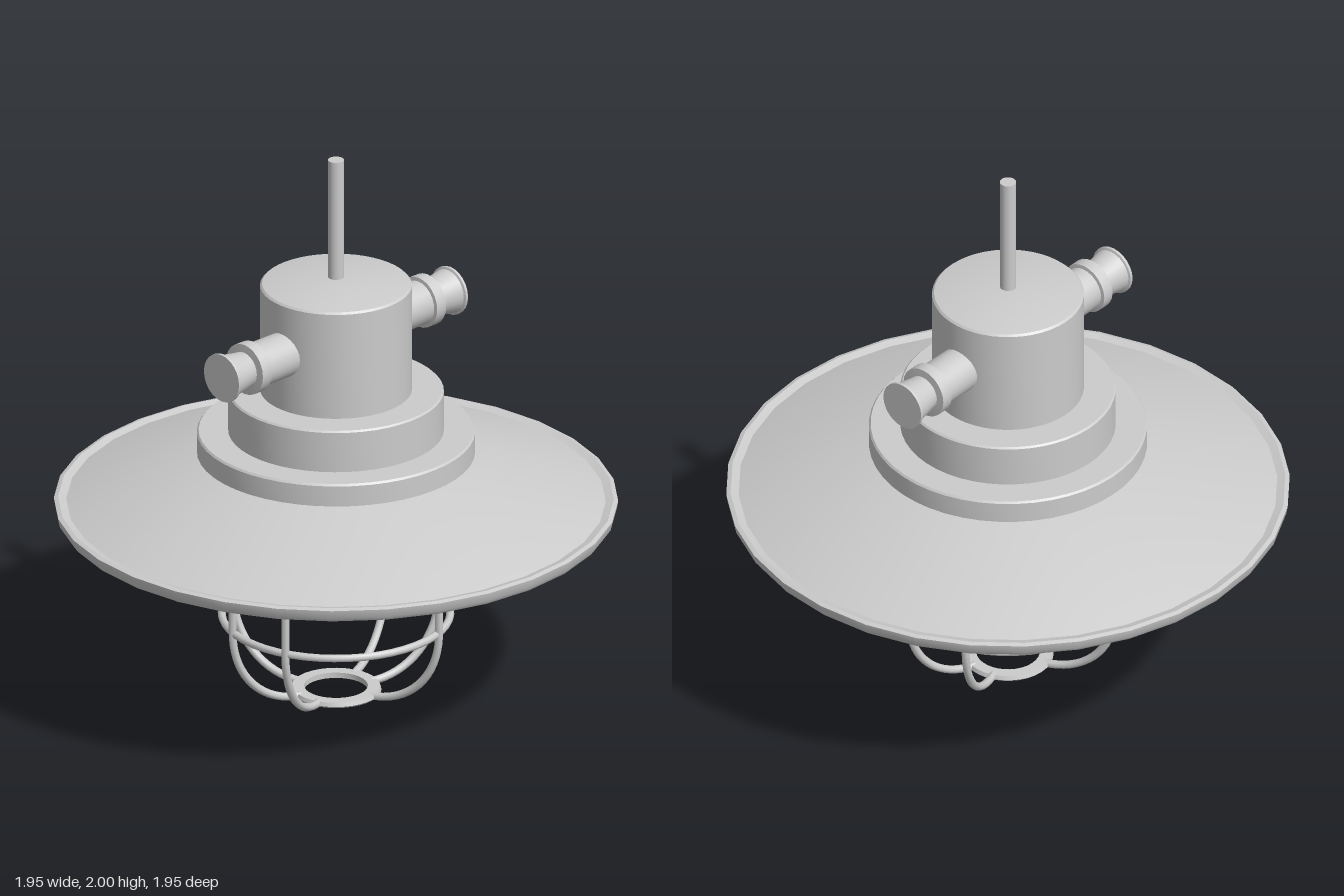
import * as THREE from 'three';
import { toCreasedNormals } from 'three/addons/utils/BufferGeometryUtils.js';

const grey = new THREE.MeshStandardMaterial({ color: 0xcccccc });

function add(parent, name, geometry) {
  const mesh = new THREE.Mesh(geometry, grey);
  mesh.name = name;
  parent.add(mesh);
  return mesh;
}

// Turned part: profile of [radius, height], running from bottom to top on the outside
function turned(profile, segments = 32, crease = 0.5) {
  const points = profile.map(([r, y]) => new THREE.Vector2(r, y));
  return toCreasedNormals(new THREE.LatheGeometry(points, segments), crease);
}

export function createModel() {
  const lamp = new THREE.Group();
  lamp.name = 'cagedPendantLamp';

  // Hanging rod and domed housing
  const rod = add(lamp, 'rod', new THREE.CylinderGeometry(0.028, 0.028, 0.46, 24));
  rod.position.y = 1.77;
  add(lamp, 'housing', turned([
    [0, 1.12], [0.262, 1.12], [0.262, 1.53], [0.255, 1.537],
    [0.18, 1.55], [0.09, 1.558], [0, 1.562]], 48));

  // Stepped collars
  add(lamp, 'upperCollar', turned([
    [0, 0.97], [0.372, 0.97], [0.372, 1.134], [0.366, 1.14], [0, 1.14]], 48));
  add(lamp, 'lowerCollar', turned([
    [0, 0.905], [0.48, 0.905], [0.48, 0.98], [0.474, 0.987], [0, 0.987]], 48));

  // Conical shade: inner ceiling, inner slope, rolled rim, outer slope
  add(lamp, 'shade', turned([
    [0, 0.9], [0.4, 0.9], [0.93, 0.705], [0.94, 0.683], [0.957, 0.68],
    [0.968, 0.695], [0.973, 0.725], [0.958, 0.73], [0.93, 0.722],
    [0.39, 0.912], [0, 0.912]]));

  // Cable glands at front and back, flared at the tip
  const glandShape = turned([
    [0, 0.2], [0.079, 0.2], [0.079, 0.395], [0.092, 0.397], [0.092, 0.44],
    [0.064, 0.442], [0.066, 0.46], [0.079, 0.537], [0.087, 0.54], [0.087, 0.55], [0, 0.55]], 24);
  glandShape.rotateX(Math.PI / 2);
  ['frontGland', 'backGland'].forEach((name, i) => {
    const gland = add(lamp, name, glandShape);
    gland.position.y = 1.345;
    gland.rotation.y = i * Math.PI;
  });

  // Bulb, hanging slightly off centre
  const bulbCurve = new THREE.SplineCurve([
    [0, 0.325], [0.06, 0.341], [0.11, 0.395], [0.126, 0.46], [0.112, 0.54],
    [0.083, 0.62], [0.063, 0.7], [0.053, 0.78], [0.05, 0.85]]
    .map(([r, y]) => new THREE.Vector2(r, y)));
  const bulbProfile = bulbCurve.getPoints(28).map((p) => [Math.max(p.x, 0), p.y]);
  const bulb = add(lamp, 'bulb', turned([...bulbProfile, [0, 0.85]], 32, 0.7));
  bulb.position.set(-0.02, 0, 0.02);

  // Guard cage
  const cage = new THREE.Group();
  cage.name = 'guardCage';
  lamp.add(cage);
  for (const [name, y] of [['upperHoop', 0.6], ['lowerHoop', 0.297]]) {
    const hoop = add(cage, name, new THREE.TorusGeometry(0.394, 0.014, 8, 48));
    hoop.rotation.x = Math.PI / 2;
    hoop.position.y = y;
  }
  add(cage, 'bottomRing', turned([
    [0.11, 0.006], [0.152, 0.006], [0.157, 0.012], [0.152, 0.026], [0.11, 0.026], [0.11, 0.006]], 32));

  // Ribs run straight down, then curve in to the bottom ring
  const ribPath = new THREE.CurvePath();
  const bend = new THREE.Vector3(0.4, 0.3, 0);
  ribPath.add(new THREE.LineCurve3(new THREE.Vector3(0.4, 0.905, 0), bend));
  ribPath.add(new THREE.CubicBezierCurve3(bend,
    new THREE.Vector3(0.4, 0.14, 0), new THREE.Vector3(0.29, 0.016, 0), new THREE.Vector3(0.135, 0.015, 0)));
  const ribShape = new THREE.TubeGeometry(ribPath, 40, 0.0145, 8, false);
  for (const degrees of [18.5, 73, -70]) {
    for (const turn of [0, 180]) {
      const rib = add(cage, 'rib', ribShape);
      rib.rotation.y = THREE.MathUtils.degToRad(degrees + turn);
    }
  }
  return lamp;
}
